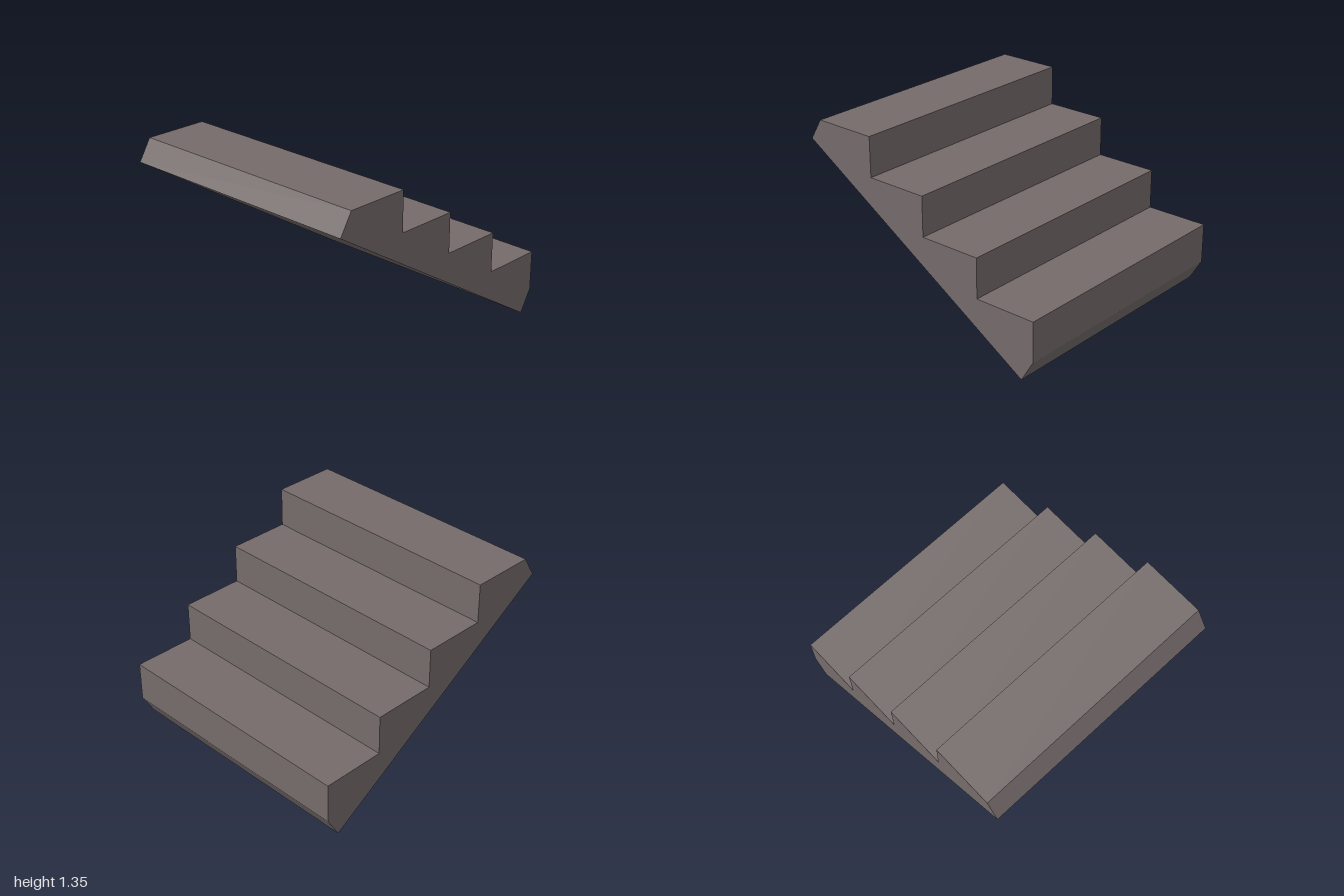
import * as THREE from 'three';

const WIDTH = 1.925;
const STEPS = 4;
const RUN = 0.475;
const RISE = 0.296;
const TOP = 1.345;

export function createModel() {
  const group = new THREE.Group();
  group.name = 'staircase';
  const stone = new THREE.MeshStandardMaterial({ color: 0x756b6b });
  stone.name = 'warm grey stone';

  // Side profile (shape x becomes depth z): chamfered ends and a sloping underside
  const profile = new THREE.Shape();
  profile.moveTo(-0.905, 0);
  profile.lineTo(1, 1.188);
  profile.lineTo(0.905, TOP);

  // Treads and risers, descending towards the back
  for (let i = 0; i < STEPS; i++) {
    const z = -1 + (STEPS - 1 - i) * RUN;
    profile.lineTo(z, TOP - i * RISE);
    if (i < STEPS - 1) profile.lineTo(z, TOP - (i + 1) * RISE);
  }
  profile.lineTo(-1, 0.16);
  profile.closePath();

  // Extrude across the width and centre on x
  const geometry = new THREE.ExtrudeGeometry(profile, { depth: WIDTH, bevelEnabled: false });
  geometry.translate(0, 0, -WIDTH / 2);
  geometry.rotateY(-Math.PI / 2);

  const flight = new THREE.Mesh(geometry, stone);
  flight.name = 'stairFlight';
  group.add(flight);
  return group;
}
